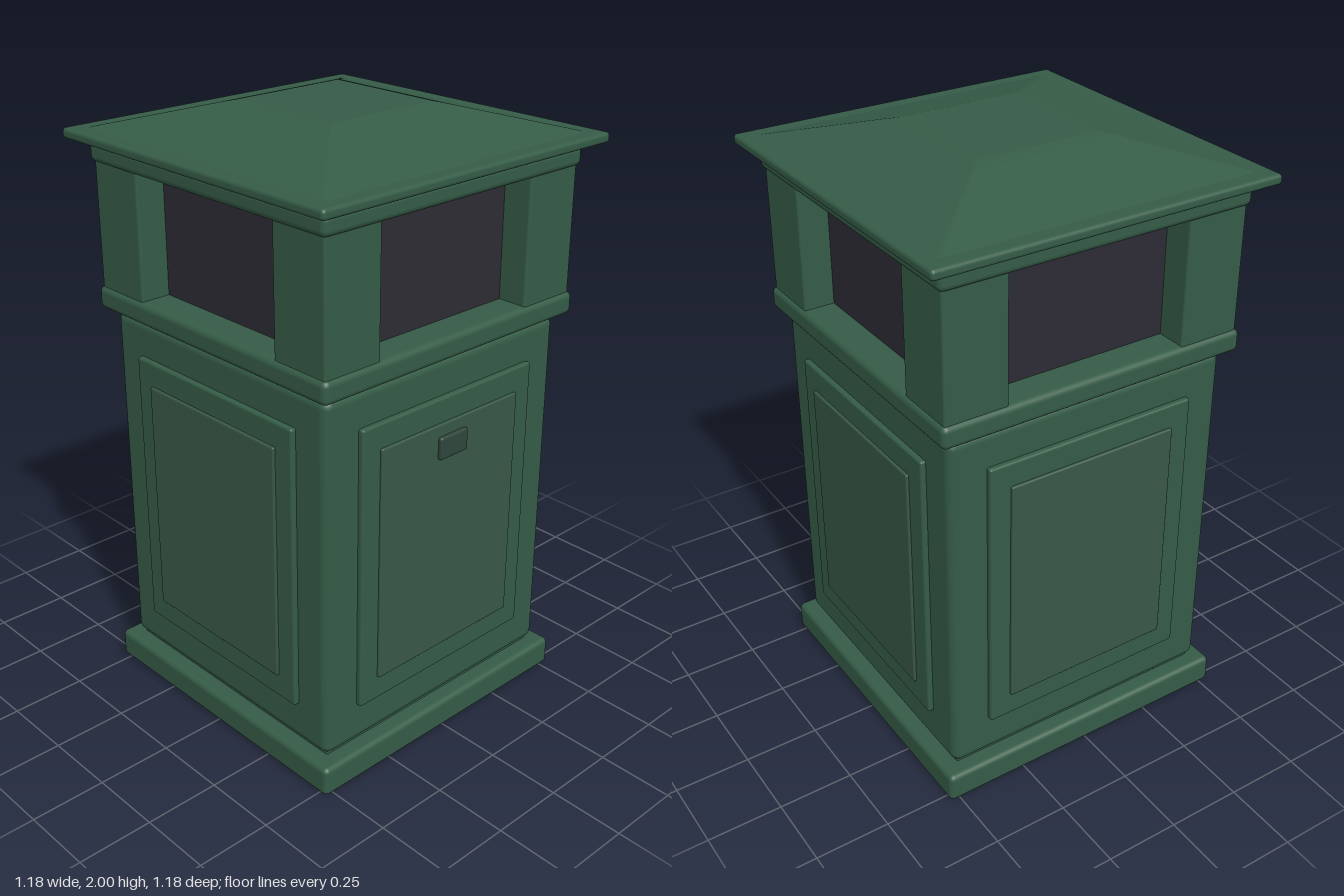
import * as THREE from 'three';
import { RoundedBoxGeometry } from 'three/addons/geometries/RoundedBoxGeometry.js';
import { mergeVertices } from 'three/addons/utils/BufferGeometryUtils.js';

const material = (name, color) => {
  const m = new THREE.MeshStandardMaterial({ color });
  m.name = name;
  return m;
};

export function createModel() {
  const green = material('painted green', 0x355c47);
  const panelGreen = material('panel green', 0x385846);
  const latchGreen = material('latch grey green', 0x2f463c);
  const dark = material('dark interior', 0x2d2c35);

  const model = new THREE.Group();
  model.name = 'litterBin';

  // Rounded block spanning y0 to y1, centred on (x, z)
  const block = (parent, name, mat, w, d, y0, y1, radius, x = 0, z = 0) => {
    const mesh = new THREE.Mesh(new RoundedBoxGeometry(w, y1 - y0, d, 3, radius), mat);
    mesh.position.set(x, (y0 + y1) / 2, z);
    mesh.name = name;
    parent.add(mesh);
    return mesh;
  };

  // Stacked square sections
  block(model, 'plinth', green, 1.07, 1.07, 0, 0.1, 0.018);
  block(model, 'plinthCore', green, 0.95, 0.95, 0.08, 0.14, 0.005);
  block(model, 'body', green, 0.99, 0.99, 0.11, 1.32, 0.03);
  block(model, 'bodyCore', green, 0.95, 0.95, 1.28, 1.35, 0.005);
  block(model, 'lowerBand', green, 1.065, 1.065, 1.327, 1.402, 0.02);
  block(model, 'upperBand', green, 1.065, 1.065, 1.806, 1.87, 0.02);
  block(model, 'roofNeck', green, 0.99, 0.99, 1.85, 1.89, 0.005);
  block(model, 'eave', green, 1.176, 1.176, 1.877, 1.91, 0.012);

  // Dark interior behind the four openings
  block(model, 'interior', dark, 0.84, 0.84, 1.38, 1.83, 0.005);

  // Corner posts
  for (const sx of [-1, 1]) {
    for (const sz of [-1, 1]) {
      block(model, 'cornerPost', green, 0.212, 0.212, 1.39, 1.82, 0.008, sx * 0.415, sz * 0.415);
    }
  }

  // Raised double panels, one set per side
  for (let i = 0; i < 4; i++) {
    const side = new THREE.Group();
    side.name = 'sidePanel';
    side.rotation.y = (i * Math.PI) / 2;
    block(side, 'panelFrame', green, 0.736, 0.05, 0.245, 1.2, 0.008, 0, 0.488);
    block(side, 'panelInset', panelGreen, 0.594, 0.05, 0.325, 1.12, 0.006, 0, 0.497);
    model.add(side);
  }

  // Front latch
  block(model, 'latch', latchGreen, 0.12, 0.03, 1.005, 1.08, 0.008, 0, 0.52);

  // Roof: a softly rounded block tapered towards its flat top
  const y0 = 1.898, y1 = 2;
  let roof = new RoundedBoxGeometry(1.11, y1 - y0, 1.11, 3, 0.012);
  roof.deleteAttribute('normal');
  roof.deleteAttribute('uv');
  const p = roof.attributes.position;
  for (let i = 0; i < p.count; i++) {
    const t = p.getY(i) / (y1 - y0) + 0.5;
    const s = THREE.MathUtils.lerp(1.04, 0.38, t);
    p.setX(i, p.getX(i) * s);
    p.setZ(i, p.getZ(i) * s);
  }
  roof = mergeVertices(roof, 1e-4);
  roof.computeVertexNormals();
  const roofMesh = new THREE.Mesh(roof, green);
  roofMesh.position.y = (y0 + y1) / 2;
  roofMesh.name = 'roof';
  model.add(roofMesh);

  return model;
}
